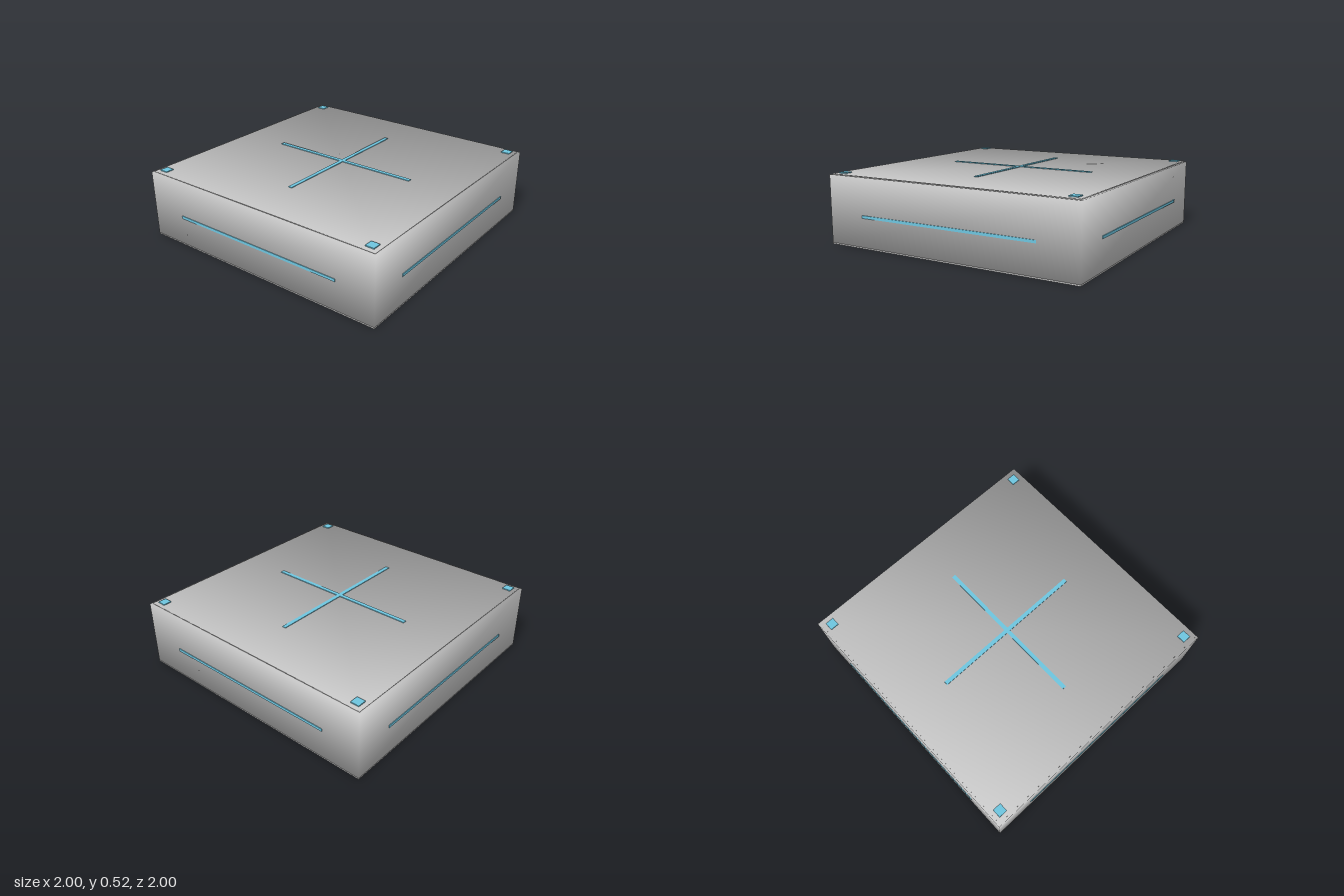
import * as THREE from 'three';

const grey = new THREE.MeshStandardMaterial({ color: 0xcccccc });
const blue = new THREE.MeshStandardMaterial({ color: 0x6ec6e0 });

// Box standing on height y; soft boxes shade smoothly with normals pointing out of the corners
function box(name, size, [x, y, z], material, soft = false) {
  const geometry = new THREE.BoxGeometry(...size);
  if (soft) {
    const p = geometry.attributes.position;
    const n = geometry.attributes.normal;
    const v = new THREE.Vector3();
    for (let i = 0; i < p.count; i++) {
      v.set(Math.sign(p.getX(i)), Math.sign(p.getY(i)), Math.sign(p.getZ(i))).normalize();
      n.setXYZ(i, v.x, v.y, v.z);
    }
  }
  geometry.translate(0, size[1] / 2, 0);
  const mesh = new THREE.Mesh(geometry, material);
  mesh.name = name;
  mesh.position.set(x, y, z);
  return mesh;
}

export function createModel() {
  const model = new THREE.Group();
  model.name = 'tile';

  // Slab: flat base, softly shaded body and a slightly inset top plate
  model.add(
    box('basePlate', [1.99, 0.01, 1.99], [0, 0, 0], grey),
    box('body', [1.99, 0.5, 1.99], [0, 0.01, 0], grey, true),
    box('topPlate', [1.956, 0.007, 1.956], [0, 0.51, 0], grey, true)
  );

  // Cross inlaid on the top
  model.add(
    box('crossBarX', [1.2, 0.01, 0.03], [0, 0.512, 0], blue),
    box('crossBarZ', [0.03, 0.01, 1.2], [0, 0.5125, 0], blue)
  );

  // Square pads in the top corners
  for (const x of [-1, 1]) {
    for (const z of [-1, 1]) {
      model.add(box('cornerPad', [0.064, 0.012, 0.064], [x * 0.917, 0.512, z * 0.917], blue));
    }
  }

  // One light strip along the middle of each side
  for (let i = 0; i < 4; i++) {
    const side = new THREE.Group();
    side.name = 'sideStrip';
    side.add(box('strip', [1.394, 0.02, 0.02], [0, 0.222, 0.99], blue));
    side.rotation.y = (i * Math.PI) / 2;
    model.add(side);
  }

  return model;
}
